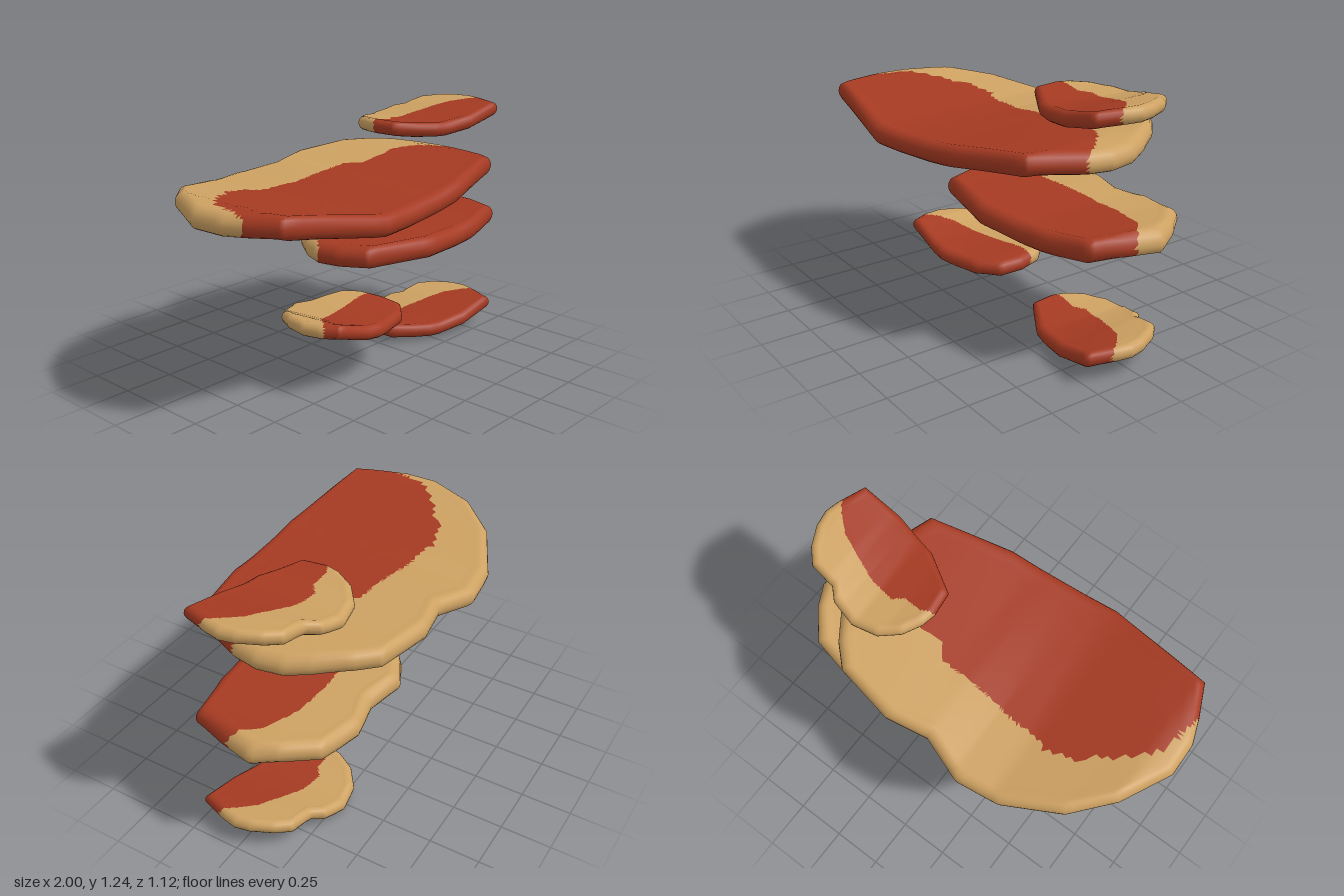
import * as THREE from 'three';

const red = new THREE.MeshStandardMaterial({ color: 0xa53a22 });
red.name = 'red cap';
const tan = new THREE.MeshStandardMaterial({ color: 0xcda162 });
tan.name = 'tan flesh';

// linear interpolation through [x, value] pairs
function lerpAt(pairs, x) {
  if (x <= pairs[0][0]) return pairs[0][1];
  for (let i = 1; i < pairs.length; i++) {
    const [x0, v0] = pairs[i - 1], [x1, v1] = pairs[i];
    if (x <= x1) return v0 + (v1 - v0) * (x - x0) / (x1 - x0);
  }
  return pairs[pairs.length - 1][1];
}

// One fungus shelf: an outline in x/z thickened to a rounded slab.
// front and back give the mid height along x at the two edges,
// split gives the z at which the red area begins along x.
function shelf(name, { outline, front, back, split, t, y = 0 }) {
  const SUB = 7, r = t / 2;
  const edge = [];
  outline.forEach(([x0, z0], i) => {
    const [x1, z1] = outline[(i + 1) % outline.length];
    for (let k = 0; k < SUB; k++) edge.push([x0 + (x1 - x0) * k / SUB, z0 + (z1 - z0) * k / SUB]);
  });
  const xs = outline.map(p => p[0]), zs = outline.map(p => p[1]);
  const zMin = Math.min(...zs), zMax = Math.max(...zs);
  const cx = (Math.min(...xs) + Math.max(...xs)) / 2, cz = (zMin + zMax) / 2;

  // rings from the underside centre, round the rim, to the top centre: [scale, inset, height]
  const rings = [];
  for (let i = 0; i < 6; i++) rings.push([i / 6, r, -r * 0.92]);
  const rimStart = rings.length;
  for (let i = 0; i <= 8; i++) {
    const a = -Math.PI / 2 + Math.PI * i / 8;
    rings.push([1, r * (1 - Math.cos(a)), r * Math.sin(a)]);
  }
  for (let i = 23; i >= 0; i--) rings.push([i / 24, r, r * 0.95]);

  const pos = [], n = edge.length;
  for (const [s, inset, h] of rings) {
    for (const [ex, ez] of edge) {
      const d = Math.hypot(ex - cx, ez - cz), f = s * (1 - inset / d);
      const x = cx + (ex - cx) * f, z = cz + (ez - cz) * f;
      const u = (z - zMin) / (zMax - zMin);
      const mid = lerpAt(back, x) * (1 - u) + lerpAt(front, x) * u;
      pos.push(x, y + mid + h, z);
    }
  }
  const redFaces = [], tanFaces = [];
  const addFace = (ring, a, b, c) => {
    const mx = (pos[a * 3] + pos[b * 3] + pos[c * 3]) / 3;
    const mz = (pos[a * 3 + 2] + pos[b * 3 + 2] + pos[c * 3 + 2]) / 3;
    const isRed = ring >= rimStart && mz > lerpAt(split, mx);
    (isRed ? redFaces : tanFaces).push(a, b, c);
  };
  for (let j = 0; j < rings.length - 1; j++) {
    for (let i = 0; i < n; i++) {
      const k = (i + 1) % n;
      const a = j * n + i, b = j * n + k, c = b + n, d = a + n;
      if (j > 0) addFace(j, a, b, c);
      else addFace(j, a, c, d);
      if (j > 0 && j < rings.length - 2) addFace(j, a, c, d);
    }
  }
  const geo = new THREE.BufferGeometry();
  geo.setAttribute('position', new THREE.Float32BufferAttribute(pos, 3));
  geo.setIndex([...redFaces, ...tanFaces]);
  geo.addGroup(0, redFaces.length, 0);
  geo.addGroup(redFaces.length, tanFaces.length, 1);
  geo.computeVertexNormals();
  const mesh = new THREE.Mesh(geo, [red, tan]);
  mesh.name = name;
  return mesh;
}

export function createModel() {
  const group = new THREE.Group();
  group.name = 'shelfFungus';

  // two equal small shelves, at the top and the bottom
  const small = {
    outline: [[0.265, -0.06], [0.28, 0.06], [0.47, 0.18], [0.7, 0.235], [0.91, 0.24], [0.96, 0.1], [0.975, 0.03],
      [0.96, -0.05], [0.91, -0.15], [0.85, -0.215], [0.72, -0.235], [0.67, -0.285], [0.55, -0.315],
      [0.42, -0.29], [0.33, -0.22], [0.28, -0.13]],
    front: [[0.27, 0.07], [0.4, 0.055], [0.55, 0.046], [0.7, 0.065], [0.9, 0.11], [0.97, 0.115]],
    back: [[0.27, 0.068], [0.4, 0.045], [0.53, 0.037], [0.62, 0.055], [0.75, 0.095], [0.94, 0.122], [0.97, 0.118]],
    split: [[0.26, -0.06], [0.33, -0.09], [0.42, -0.08], [0.47, -0.12], [0.6, -0.1], [0.7, -0.06], [0.82, -0.01],
      [0.9, 0.06], [0.95, 0.13]],
    t: 0.073
  };
  group.add(shelf('bottomShelf', small));
  group.add(shelf('topShelf', { ...small, y: 1.085 }));

  // largest shelf
  group.add(shelf('largeShelf', {
    outline: [[-1, 0.03], [-0.995, 0.2], [-0.95, 0.32], [-0.88, 0.47], [-0.34, 0.56], [0.24, 0.505], [0.655, 0.39],
      [0.7, 0.27], [0.76, 0.12], [0.78, 0], [0.76, -0.13], [0.7, -0.24], [0.6, -0.38], [0.5, -0.475],
      [0.2, -0.53], [-0.01, -0.49], [-0.23, -0.565], [-0.45, -0.535], [-0.72, -0.4], [-0.88, -0.22]],
    front: [[-1, 0.955], [-0.87, 0.97], [-0.7, 0.945], [-0.35, 0.88], [-0.15, 0.878], [0.1, 0.89], [0.4, 0.93],
      [0.65, 0.96], [0.78, 0.935]],
    back: [[-1, 0.945], [-0.87, 0.955], [-0.7, 0.92], [-0.4, 0.873], [-0.2, 0.88], [0, 0.918], [0.25, 0.938],
      [0.6, 0.96], [0.78, 0.935]],
    split: [[-0.95, 0.3], [-0.92, 0.16], [-0.9, 0.07], [-0.78, -0.05], [-0.65, -0.14], [-0.62, -0.18], [-0.46, -0.22],
      [-0.43, -0.19], [-0.3, -0.19], [-0.1, -0.165], [0.16, -0.16], [0.2, -0.09], [0.4, -0.1], [0.48, -0.12],
      [0.58, -0.07], [0.7, 0.05], [0.77, 0.16]],
    t: 0.105
  }));

  // middle shelf
  group.add(shelf('middleShelf', {
    outline: [[-0.23, 0], [-0.21, 0.12], [-0.14, 0.27], [0.24, 0.355], [0.65, 0.31], [0.91, 0.24], [0.96, 0.07],
      [0.995, -0.1], [0.93, -0.22], [0.81, -0.36], [0.58, -0.41], [0.4, -0.37], [0.2, -0.41], [0.07, -0.34],
      [-0.1, -0.22], [-0.19, -0.1]],
    front: [[-0.23, 0.612], [-0.1, 0.622], [0.2, 0.605], [0.5, 0.592], [0.7, 0.6], [0.92, 0.622], [0.99, 0.605]],
    back: [[-0.23, 0.605], [0, 0.59], [0.25, 0.597], [0.5, 0.585], [0.7, 0.595], [0.92, 0.622], [0.99, 0.605]],
    split: [[-0.23, 0.02], [-0.15, -0.05], [0.1, -0.13], [0.4, -0.15], [0.65, -0.14], [0.85, -0.08], [0.93, 0],
      [0.98, 0.04]],
    t: 0.11
  }));

  // twisted side shelf
  group.add(shelf('sideShelf', {
    outline: [[-0.47, 0.14], [-0.45, 0.24], [-0.4, 0.325], [-0.12, 0.34], [0.1, 0.28], [0.2, 0.19], [0.21, 0.07],
      [0.18, -0.05], [0.1, -0.13], [0, -0.155], [-0.1, -0.17], [-0.18, -0.21], [-0.28, -0.17], [-0.37, -0.09],
      [-0.44, 0.02]],
    front: [[-0.47, 0.335], [-0.38, 0.34], [-0.2, 0.28], [-0.05, 0.262], [0.21, 0.255]],
    back: [[-0.47, 0.32], [-0.38, 0.3], [-0.3, 0.268], [-0.2, 0.262], [0, 0.277], [0.13, 0.285], [0.21, 0.27]],
    split: [[-0.46, 0.28], [-0.42, 0.24], [-0.32, 0.12], [-0.2, 0.07], [-0.07, 0.04], [0.1, 0], [0.21, 0.01]],
    t: 0.073
  }));
  return group;
}
